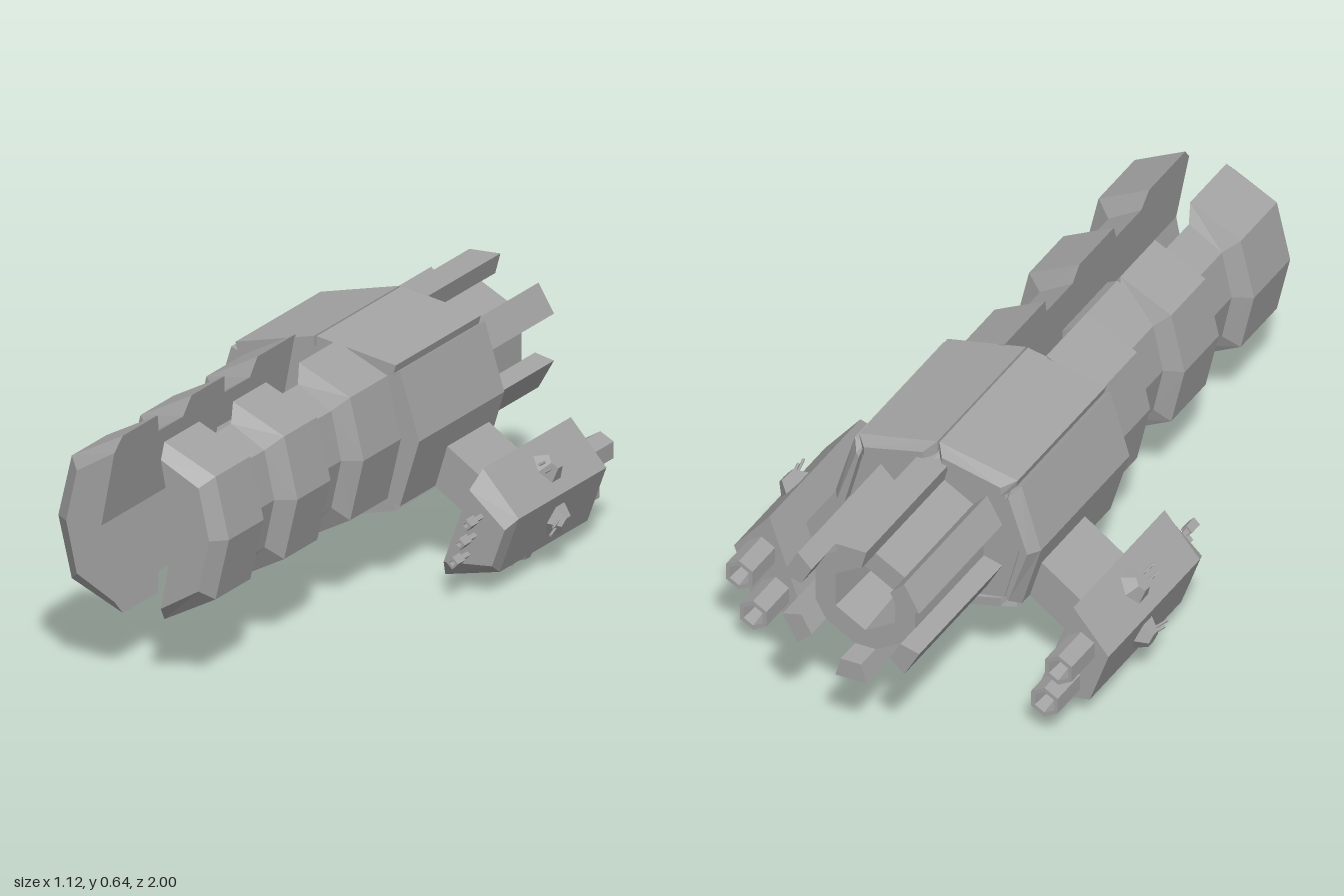
import * as THREE from 'three';
import { mergeGeometries } from 'three/addons/utils/BufferGeometryUtils.js';

const hull = new THREE.MeshStandardMaterial({ color: 0xa3a3a3, flatShading: true });
hull.name = 'hullGrey';
const CY = 0.405; // height of the main axis

const flat = (geo) => {
  const g = geo.index ? geo.toNonIndexed() : geo;
  g.deleteAttribute('uv');
  g.computeVertexNormals();
  return g;
};

// Joins counter-clockwise cross-sections [z, points] listed from back to front
function loft(sections) {
  const pos = [];
  const put = (s, i) => pos.push(s[1][i][0], s[1][i][1], s[0]);
  const n = sections[0][1].length;
  for (let k = 0; k + 1 < sections.length; k++) {
    const a = sections[k], b = sections[k + 1];
    for (let i = 0; i < n; i++) {
      const j = (i + 1) % n;
      put(a, i); put(a, j); put(b, j);
      put(a, i); put(b, j); put(b, i);
    }
  }
  const cap = (s, front) => {
    const tris = THREE.ShapeUtils.triangulateShape(s[1].map((p) => new THREE.Vector2(...p)), []);
    for (const [a, b, c] of tris) (front ? [a, b, c] : [a, c, b]).forEach((i) => put(s, i));
  };
  cap(sections[0], false);
  cap(sections[sections.length - 1], true);
  const g = new THREE.BufferGeometry();
  g.setAttribute('position', new THREE.Float32BufferAttribute(pos, 3));
  return flat(g);
}

// Revolved part along z from [radius, z] points
function turned(profile, x, y, sides = 6) {
  const g = new THREE.LatheGeometry(profile.map((p) => new THREE.Vector2(...p)), sides);
  return flat(g.rotateX(Math.PI / 2).translate(x, y, 0));
}

function mirrored(geo) {
  const g = geo.clone().scale(-1, 1, 1);
  const p = g.attributes.position;
  const v = new THREE.Vector3(), w = new THREE.Vector3();
  for (let i = 0; i < p.count; i += 3) {
    v.fromBufferAttribute(p, i + 1);
    w.fromBufferAttribute(p, i + 2);
    p.setXYZ(i + 1, w.x, w.y, w.z);
    p.setXYZ(i + 2, v.x, v.y, v.z);
  }
  g.computeVertexNormals();
  return g;
}

export function createModel() {
  const model = new THREE.Group();
  model.name = 'spaceship';
  const add = (name, geo) => {
    const m = new THREE.Mesh(geo, hull);
    m.name = name;
    model.add(m);
  };
  const both = (name, geo) => {
    add(name + 'Left', geo);
    add(name + 'Right', mirrored(geo));
  };

  // Body core
  const core = (s) => [[0, 0.215], [-0.215, 0.175], [-0.262, 0], [-0.215, -0.175],
    [0, -0.215], [0.215, -0.175], [0.262, 0], [0.215, 0.175]].map(([x, y]) => [x * s, CY + y * s]);
  add('bodyCore', loft([[-0.54, core(0.95)], [-0.5, core(1)], [-0.025, core(1)]]));

  // Armour plates: upper, lower and side, bevelled at the rear
  const upper = [[0.003, 0.245], [0.003, 0.2], [0.222, 0.16], [0.232, 0.197]];
  const upperEnd = [[0.028, 0.225], [0.028, 0.2], [0.2, 0.16], [0.2, 0.185]];
  for (const [name, sign] of [['upperPlate', 1], ['lowerPlate', -1]]) {
    const place = (pts) => {
      const out = pts.map(([x, y]) => [x, CY + sign * y]);
      return sign > 0 ? out : out.reverse();
    };
    both(name, loft([[-0.55, place(upperEnd)], [-0.515, place(upper)], [-0.025, place(upper)]]));
  }
  const side = (d) => [[0.244 - d, 0.183 - d], [0.215, 0.17 - d], [0.255, 0], [0.215, d - 0.17],
    [0.244 - d, d - 0.183], [0.3 - d, 0]].map(([x, y]) => [x, CY + y]);
  both('sidePlate', loft([[-0.55, side(0.022)], [-0.515, side(0)], [-0.025, side(0)]]));

  // Long crescent prongs with three raised bands
  const crescent = (s) => {
    const top = 0.24 * s, inner = 0.105 - 0.045 * s;
    const ox = 0.208 - 0.2 * (1 - s), mx = 0.247 - 0.25 * (1 - s);
    return [[inner, top], [0.105, 0], [inner, -top], [ox, -0.166 * s], [mx, 0], [ox, 0.166 * s]]
      .map(([x, y]) => [x, CY + y]);
  };
  const bands = [[-0.03, 1], [0.19, 1], [0.215, 0.79], [0.36, 0.79], [0.38, 1], [0.57, 1],
    [0.6, 0.79], [0.74, 0.79], [0.765, 1], [0.965, 1], [1, 0.84]];
  both('prong', loft(bands.map(([z, s]) => [z, crescent(s)])));

  // Guns between the prongs
  const gun = (y, thin, r, step, end, slope) => {
    const g = turned([[thin, -0.03], [thin, step], [r, step], [r, end], [r * 0.52, end],
      [r * 0.52, end - 0.012], [0, end - 0.012]], 0, y);
    const p = g.attributes.position;
    for (let i = 0; i < p.count; i++) {
      if (p.getZ(i) > end - 0.02) p.setZ(i, p.getZ(i) - (p.getY(i) - y) * slope);
    }
    g.computeVertexNormals();
    return g;
  };
  add('upperGun', gun(0.52, 0.02, 0.036, 0.23, 0.485, 0.3));
  add('mainGun', gun(CY, 0.03, 0.053, 0.35, 0.74, 0));
  add('lowerGun', gun(0.283, 0.02, 0.036, 0.23, 0.485, -0.3));

  // Main engine with six fins
  add('mainEngine', turned([[0, -0.7], [0.085, -0.7], [0.1, -0.92], [0.168, -0.92],
    [0.168, -0.5], [0, -0.5]], 0, CY));
  for (let i = 0; i < 6; i++) {
    const fin = loft([-1, -0.53].map((z) => [z, [[-0.03, 0.15], [0.03, 0.15], [0.045, 0.205], [-0.045, 0.205]]]));
    add('engineFin' + (i + 1), fin.rotateZ(i * Math.PI / 3).translate(0, CY, 0));
  }

  // Struts to the side pods
  const strut = new THREE.BoxGeometry(0.22, 0.112, 0.24);
  both('strut', flat(strut.rotateZ(-0.62).translate(0.305, 0.245, -0.35)));

  // Side pods: half-hexagons tilted by 20 degrees
  const tilt = Math.PI / 9, cx = 0.39, cy = 0.18;
  const podPoint = (u, n) => [cx + u * Math.sin(tilt) + n * Math.cos(tilt),
    cy + u * Math.cos(tilt) - n * Math.sin(tilt)];
  const podSection = (su, sn) => [[0.16, 0], [-0.16, 0], [-0.08, 0.1386], [0.08, 0.1386]]
    .map(([u, n]) => podPoint(u * su, n * sn));
  both('pod', loft([[-0.61, podSection(1, 1)], [-0.105, podSection(1, 1)], [-0.06, podSection(0.68, 0.93)]]));

  // Pod guns and engines
  for (const k of [-1, 0, 1]) {
    const [x, y] = podPoint(k * 0.057, 0.055);
    both('podGun' + (k + 2), turned([[0.009, -0.07], [0.009, -0.015], [0.017, -0.015],
      [0.017, 0.028], [0.008, 0.028], [0.008, 0.01], [0, 0.01]], x, y, 4));
  }
  for (const k of [-1, 1]) {
    const [x, y] = podPoint(k * 0.06, 0.06);
    both(k < 0 ? 'lowerPodEngine' : 'upperPodEngine', turned([[0, -0.65], [0.022, -0.65],
      [0.032, -0.735], [0.045, -0.735], [0.045, -0.6], [0, -0.6]], x, y));
  }

  // Twin-barrel turrets on the three outer faces of each pod
  [40, -20, -80].forEach((deg, i) => {
    const a = THREE.MathUtils.degToRad(deg);
    const parts = [new THREE.CylinderGeometry(0.025, 0.049, 0.034, 6).translate(0, 0.017, 0)];
    for (const s of [-1, 1]) {
      parts.push(new THREE.CylinderGeometry(0.004, 0.004, 0.06, 5).rotateX(1.35).translate(s * 0.012, 0.024, 0.047));
    }
    const g = mergeGeometries(parts).rotateZ(a - Math.PI / 2);
    both('turret' + (i + 1), flat(g.translate(cx + 0.138 * Math.cos(a), cy + 0.138 * Math.sin(a), -0.37)));
  });

  return model;
}
